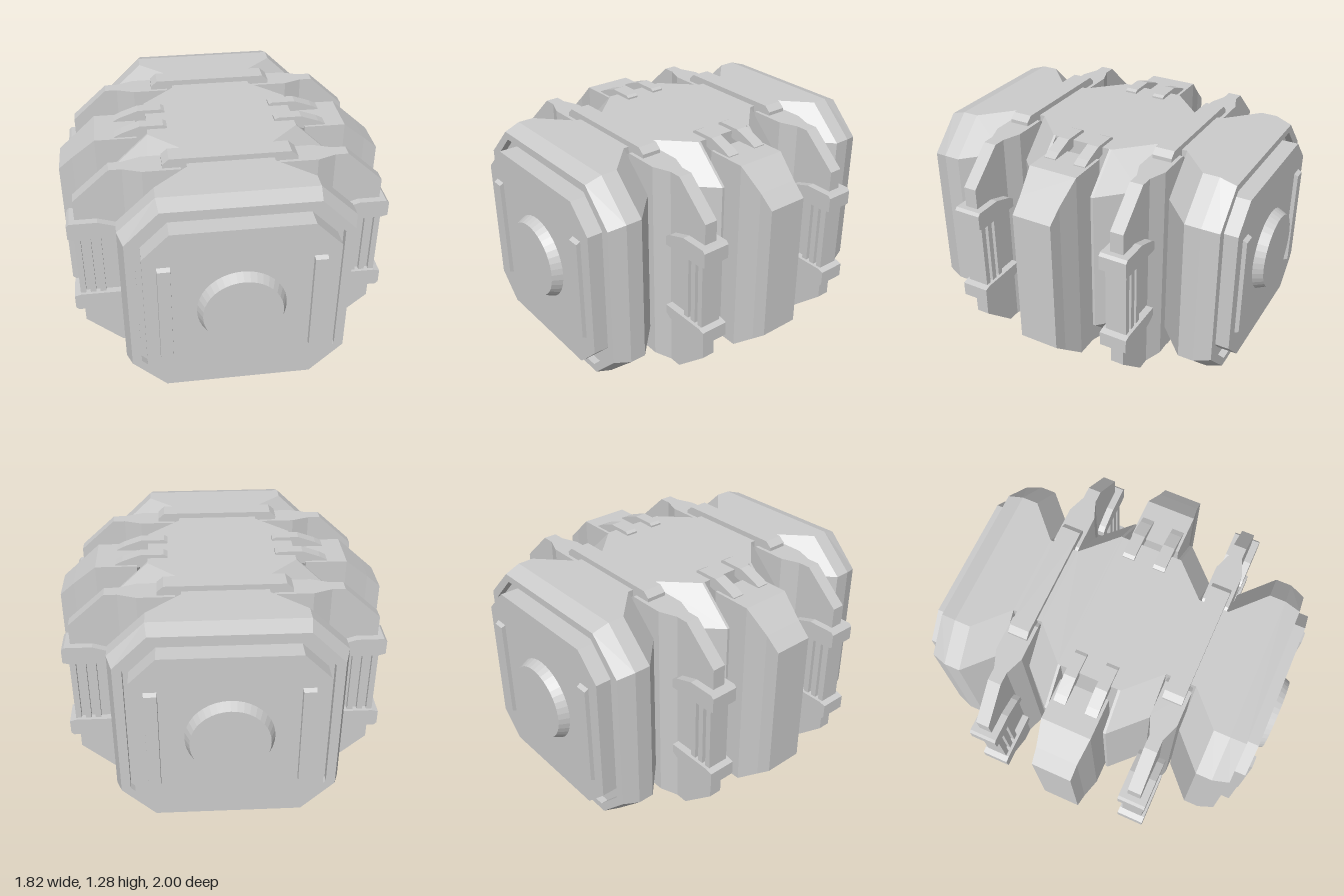
import * as THREE from 'three';

const mat = new THREE.MeshStandardMaterial({ color: 0xcccccc, flatShading: true });

function add(parent, geo, name, x = 0, y = 0, z = 0) {
  const m = new THREE.Mesh(geo, mat);
  m.name = name;
  m.position.set(x, y, z);
  parent.add(m);
  return m;
}

// Skin a list of equal-length point rings and cap both ends
function loft(rings) {
  const out = [];
  const tri = (...pts) => pts.forEach(p => out.push(...p));
  const n = rings[0].length;
  for (let i = 0; i < rings.length - 1; i++) {
    for (let j = 0; j < n; j++) {
      const k = (j + 1) % n, a = rings[i], b = rings[i + 1];
      tri(a[j], a[k], b[k]);
      tri(a[j], b[k], b[j]);
    }
  }
  const first = rings[0], last = rings[rings.length - 1];
  for (let j = 1; j < n - 1; j++) {
    tri(first[0], first[j + 1], first[j]);
    tri(last[0], last[j], last[j + 1]);
  }
  const g = new THREE.BufferGeometry();
  g.setAttribute('position', new THREE.Float32BufferAttribute(out, 3));
  g.computeVertexNormals();
  return g;
}

// Chamfered section at z: side half width w, top half width t, half height h, corner height c
const octagon = (z, w, t, h = 0.61, c = 0.42) => [
  [w, -c, z], [w, c, z], [t, h, z], [-t, h, z],
  [-w, c, z], [-w, -c, z], [-t, -h, z], [t, -h, z]];

// Rectangular section at x: half height h, half depth d
const rect = (x, h, d) => [[x, h, d], [x, -h, d], [x, -h, -d], [x, h, -d]];

function extrude(points, depth) {
  const shape = new THREE.Shape(points.map(p => new THREE.Vector2(...p)));
  return new THREE.ExtrudeGeometry(shape, { depth, bevelEnabled: false }).translate(0, 0, -depth / 2);
}

export function createModel() {
  const model = new THREE.Group();
  model.name = 'armouredCrate';
  const core = new THREE.Group();
  core.name = 'core';
  core.position.y = 0.64;
  model.add(core);

  // Hull with grooves, pod slots and recessed ends
  const half = [
    [0.165, 0.41, 0.41], [0.165, 0.61, 0.41], [0.18, 0.61, 0.41],
    [0.36, 0.43, 0.23], [0.36, 0.23, 0.23], [0.53, 0.23, 0.23], [0.53, 0.43, 0.23],
    [0.70, 0.61, 0.41], [0.79, 0.61, 0.41], [0.88, 0.58, 0.40, 0.58, 0.40],
    [0.88, 0.53, 0.38, 0.54, 0.385], [0.84, 0.53, 0.38, 0.54, 0.385]];
  const back = half.map(([z, ...s]) => octagon(-z, ...s)).reverse();
  add(core, loft([...back, ...half.map(s => octagon(...s))]), 'hull');

  // End panels with disc and two grip bars
  for (const turn of [0, Math.PI]) {
    const end = new THREE.Group();
    end.name = turn ? 'backEnd' : 'frontEnd';
    end.rotation.y = turn;
    core.add(end);
    add(end, loft([octagon(0.83, 0.5, 0.36, 0.495, 0.355), octagon(0.945, 0.5, 0.36, 0.495, 0.355)]), 'endPanel');
    const disc = new THREE.CylinderGeometry(0.208, 0.235, 0.06, 40).rotateX(Math.PI / 2);
    add(end, disc, 'endDisc', 0, 0.003, 0.97);
    for (const s of [-1, 1]) {
      const bar = loft([
        octagon(0.94, 0.035, 0.035, 0.3, 0.29),
        octagon(0.968, 0.033, 0.033, 0.285, 0.28)]);
      add(end, bar, 'endBar', s * 0.395, 0.003, 0);
    }
  }

  // Side assemblies: pod, wings and clasps
  const clasp = [[0.57, 0.19], [0.84, 0.19], [0.875, 0.2], [0.875, 0.28],
    [0.86, 0.295], [0.71, 0.295], [0.60, 0.26], [0.57, 0.24]];
  for (const turn of [0, Math.PI]) {
    const side = new THREE.Group();
    side.name = turn ? 'rightSide' : 'leftSide';
    side.rotation.y = turn;
    core.add(side);
    add(side, loft([rect(0.47, 0.57, 0.14), rect(0.70, 0.57, 0.14),
      rect(0.83, 0.46, 0.118), rect(0.91, 0.39, 0.113)]), 'sidePod');
    for (const z of [-0.445, 0.445]) {
      add(side, loft([rect(0.22, 0.565, 0.07), rect(0.26, 0.59, 0.075), rect(0.46, 0.59, 0.075),
        rect(0.56, 0.59, 0.037), rect(0.63, 0.59, 0.037), rect(0.83, 0.41, 0.037)]), 'wing', 0, 0, z);
      for (const x of [0.715, 0.77, 0.825]) {
        add(side, new THREE.BoxGeometry(0.032, 0.4, 0.12), 'wingRib', x, 0, z);
      }
      for (const s of [0, Math.PI]) {
        add(side, extrude(clasp, 0.155), 'clasp', 0, 0, z).rotation.x = s;
      }
    }
  }

  // Straps and hooked fingers, above and below
  const strap = [[-0.355, 0.54], [0.355, 0.54], [0.355, 0.61], [0.32, 0.64], [-0.32, 0.64], [-0.355, 0.61]];
  const finger = [[0.30, 0.60], [0.59, 0.52], [0.59, 0.575], [0.55, 0.595], [0.45, 0.63], [0.32, 0.63], [0.30, 0.62]];
  for (const flip of [0, Math.PI]) {
    const face = new THREE.Group();
    face.name = flip ? 'undersideFittings' : 'topFittings';
    face.rotation.x = flip;
    core.add(face);
    for (const z of [-0.445, 0.445]) add(face, extrude(strap, 0.11), 'strap', 0, 0, z);
    for (const z of [-0.09, 0.09]) {
      for (const turn of [0, Math.PI]) {
        add(face, extrude(finger, 0.068), 'finger', 0, 0, z).rotation.y = turn;
      }
    }
  }
  return model;
}
